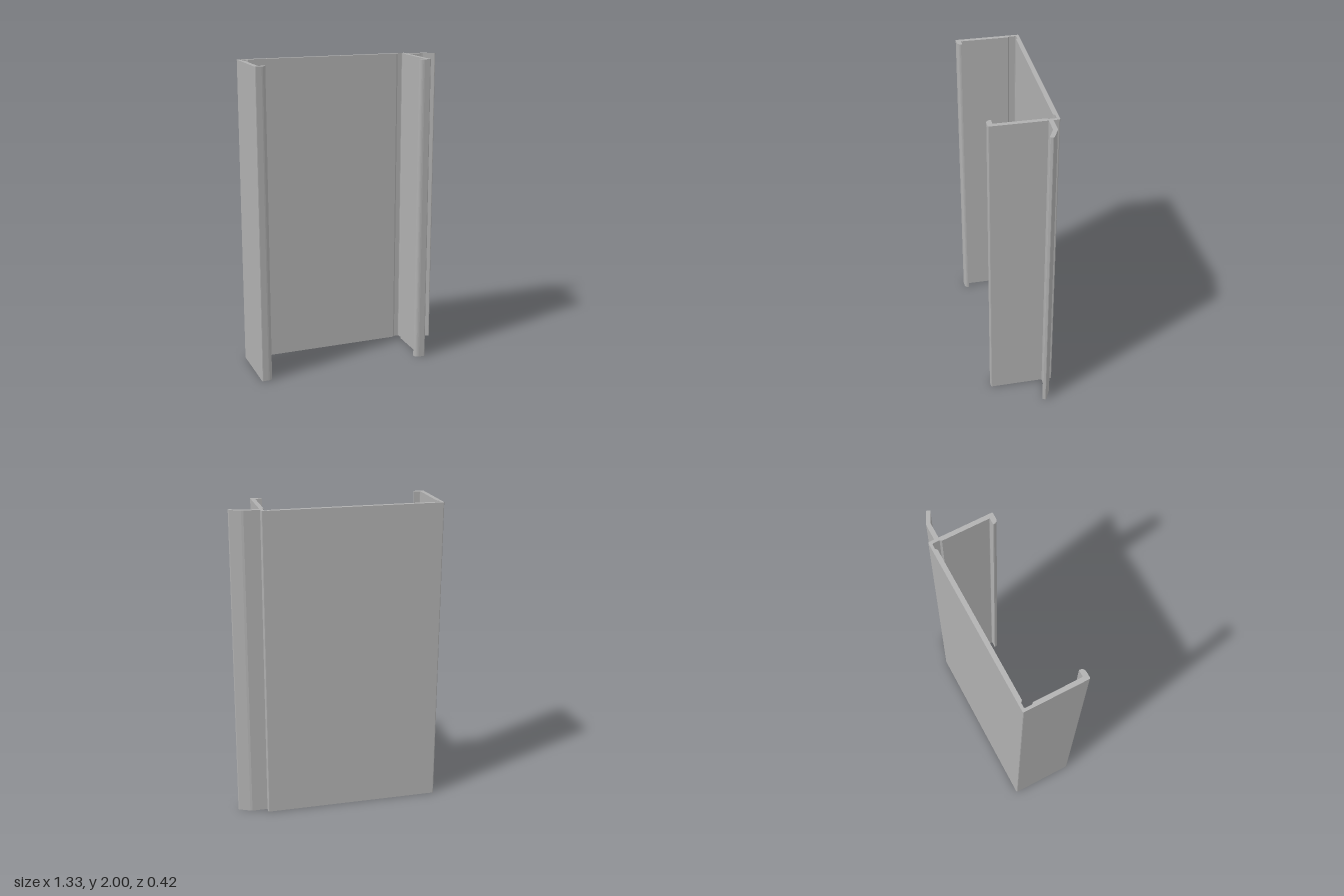
import * as THREE from 'three';

const HEIGHT = 2;
const CENTRE = -0.0935; // middle of the channel, which the side fin pushes off centre

// Extrudes an outline of [x, z] points upwards from y = 0
function extrudeUp(name, points, material) {
  const shape = new THREE.Shape(points.map(([x, z]) => new THREE.Vector2(x, -z)));
  const geometry = new THREE.ExtrudeGeometry(shape, { depth: HEIGHT, bevelEnabled: false });
  geometry.rotateX(-Math.PI / 2);
  const mesh = new THREE.Mesh(geometry, material);
  mesh.name = name;
  return mesh;
}

// Points of a rounded corner from a to b, pulled towards corner c
function round(a, c, b, steps = 4) {
  const curve = new THREE.QuadraticBezierCurve(
    new THREE.Vector2(...a), new THREE.Vector2(...c), new THREE.Vector2(...b));
  return curve.getPoints(steps).map((p) => [p.x, p.y]);
}

export function createModel() {
  const group = new THREE.Group();
  group.name = 'channelProfile';
  const metal = new THREE.MeshStandardMaterial({ color: 0xb0b0b0 });
  metal.name = 'grey metal';

  // Half of the channel section: back corner, wall, hooked lip, relieved inner corner
  const half = [
    ...round([0.5635, -0.208], [0.5715, -0.208], [0.5715, -0.2]),
    ...round([0.5715, 0.199], [0.5715, 0.207], [0.5635, 0.207]),
    ...round([0.529, 0.207], [0.502, 0.205], [0.5, 0.183], 6),
    [0.5, 0.175],
    ...round([0.539, 0.175], [0.5435, 0.175], [0.5435, 0.17]),
    [0.5435, -0.132], [0.5525, -0.143],
    ...round([0.5525, -0.181], [0.5525, -0.19], [0.544, -0.19]),
    [0.517, -0.19], [0.505, -0.179],
  ];
  const mirrored = half.map(([x, z]) => [-x, z]).reverse();
  const section = [...half, ...mirrored].map(([x, z]) => [x + CENTRE, z]);
  group.add(extrudeUp('channel', section, metal));

  // Bent fin running along the outside of the left wall
  const fin = [
    [0.478, -0.168], [0.578, -0.168], [0.592, -0.164],
    ...round([0.659, -0.131], [0.666, -0.127], [0.664, -0.12]),
    ...round([0.659, -0.109], [0.656, -0.103], [0.65, -0.106]),
    [0.585, -0.138], [0.575, -0.14], [0.478, -0.14],
  ];
  group.add(extrudeUp('sideFin', fin, metal));

  return group;
}
